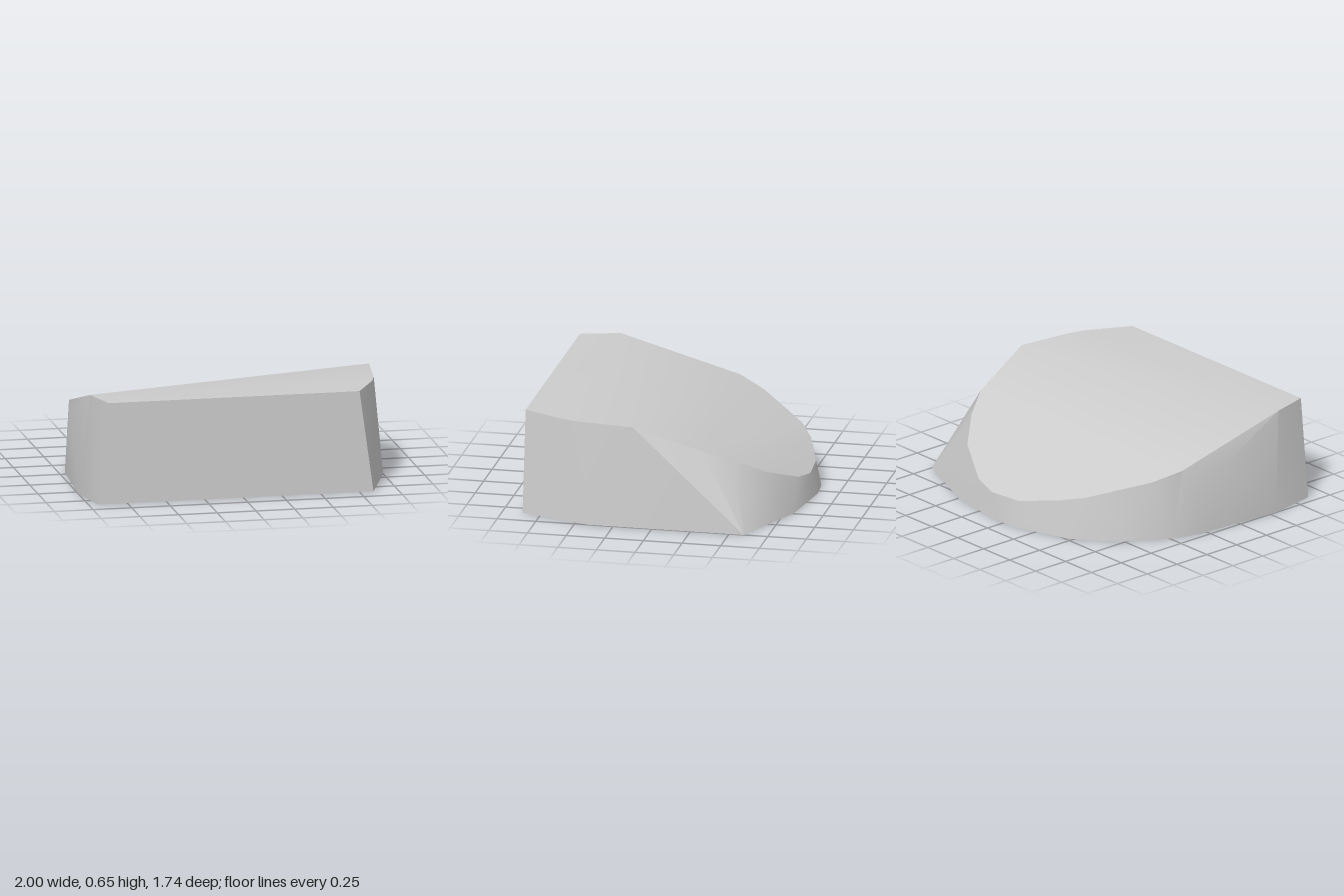
import * as THREE from 'three';
import { toCreasedNormals } from 'three/addons/utils/BufferGeometryUtils.js';
import { ConvexGeometry } from 'three/addons/geometries/ConvexGeometry.js';

// Footprint on the ground as [x, y, z]
const BASE = [
  [0.84, 0.87], [1, 0.41], [1, -0.595], [0.49, -0.81], [0.05, -0.87], [-0.12, -0.855], [-0.46, -0.74],
  [-0.725, -0.53], [-0.905, -0.23], [-0.96, -0.05], [-1, 0.55], [-0.94, 0.87],
].map(([x, z]) => [x, 0, z]);

// Rim of the roof as [x, y, z]: level at the front, falling to the back and lower on one side
const RIM = [
  [0.75, 0.655, 0.87], [0.89, 0.655, 0.6], [0.92, 0.655, 0.5], [0.968, 0.655, 0.13],
  [0.865, 0.492, -0.30], [0.755, 0.41, -0.475], [0.595, 0.297, -0.65], [0.315, 0.187, -0.80],
  [0.14, 0.16, -0.84], [-0.10, 0.168, -0.825], [-0.37, 0.23, -0.735], [-0.53, 0.272, -0.645],
  [-0.82, 0.383, -0.335], [-0.91, 0.443, -0.16], [-0.94, 0.655, 0.62], [-0.87, 0.655, 0.87],
];

// Slight bulge in the low side wall
const BULGE = [-0.976, 0.43, 0.15];

export function createModel() {
  const group = new THREE.Group();
  group.name = 'slopedBlock';
  const grey = new THREE.MeshStandardMaterial({ color: 0xcccccc });
  grey.name = 'light grey';

  // Solid skin around footprint, rim and bulge, smooth except at the sharp edges
  const points = [...BASE, ...RIM, BULGE].map((p) => new THREE.Vector3(...p));
  const geometry = toCreasedNormals(new ConvexGeometry(points), THREE.MathUtils.degToRad(30));
  const block = new THREE.Mesh(geometry, grey);
  block.name = 'block';
  group.add(block);
  return group;
}
